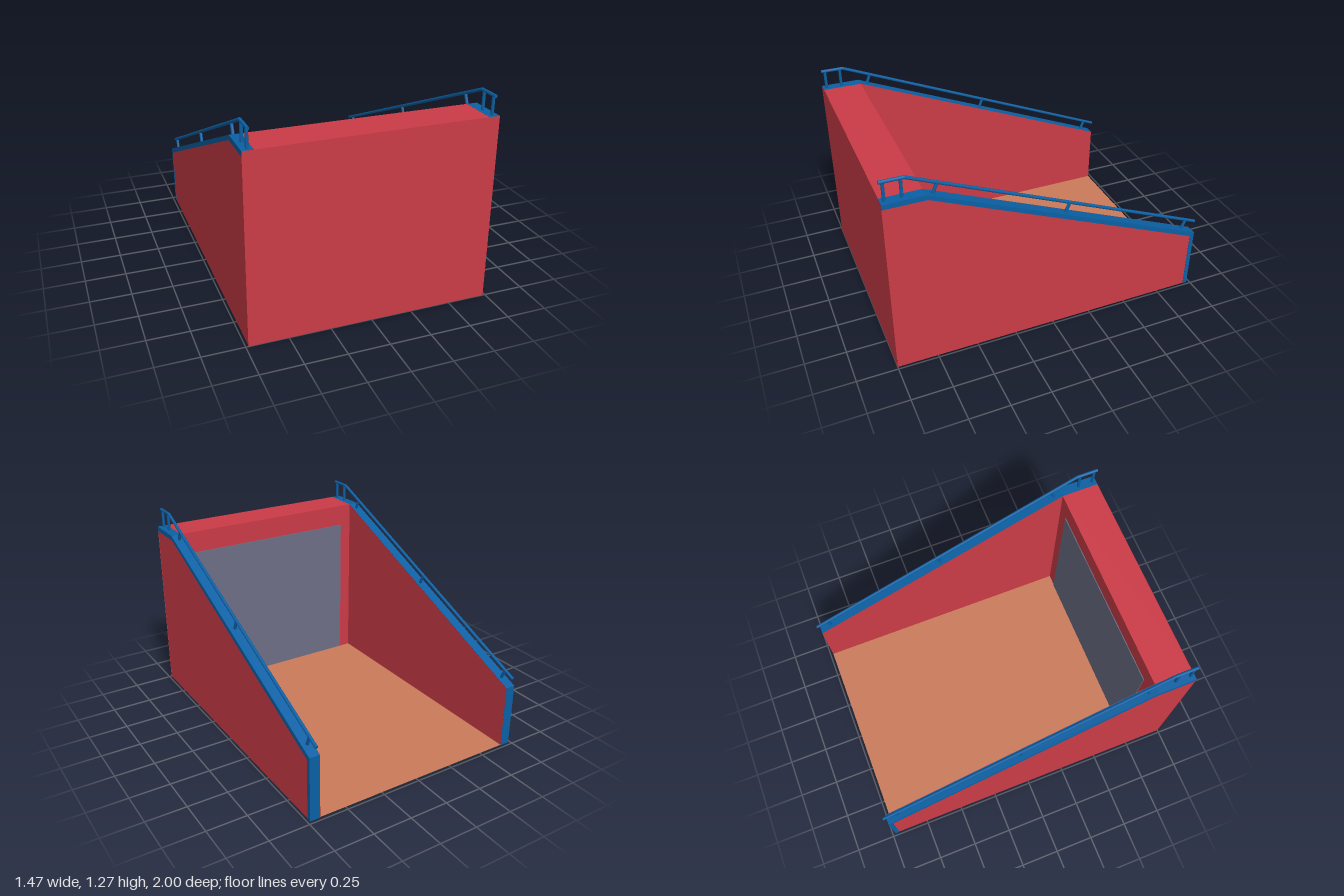
import * as THREE from 'three';

const IN = 0.67, OUT = 0.735, TOP = 1.15, BACK = -0.98, STEP = 0.76, LOW = 0.41;

export function createModel() {
  const mat = (name, color, side = THREE.FrontSide) => {
    const m = new THREE.MeshStandardMaterial({ color, side });
    m.name = name;
    return m;
  };
  const red = mat('red', 0xcb3b47, THREE.DoubleSide);
  const blue = mat('blue', 0x0b60a4);
  const clay = mat('clay', 0xca7a59, THREE.DoubleSide);
  const grey = mat('grey', 0x6d6e86);

  const model = new THREE.Group();
  model.name = 'slopedEnclosure';
  const add = (parent, name, geo, material, x = 0, y = 0, z = 0) => {
    const mesh = new THREE.Mesh(geo, material);
    mesh.name = name;
    mesh.position.set(x, y, z);
    parent.add(mesh);
    return mesh;
  };

  // Shapes are drawn as (z, y); turned so that they lie in the side plane
  const shapeOf = pts => new THREE.Shape(pts.map(([z, y]) => new THREE.Vector2(-z, y)));
  const sidePlate = pts => new THREE.ShapeGeometry(shapeOf(pts)).rotateY(Math.PI / 2);
  const sideSlab = (pts, depth) => new THREE.ExtrudeGeometry(shapeOf(pts),
    { depth, bevelEnabled: false }).rotateY(Math.PI / 2);

  // Round bar between two (z, y) points
  const bar = (parent, name, x, a, b, r) => {
    const p = new THREE.Vector3(x, a[1], a[0]), q = new THREE.Vector3(x, b[1], b[0]);
    const dir = q.clone().sub(p);
    const mesh = add(parent, name, new THREE.CylinderGeometry(r, r, dir.length(), 10), blue);
    mesh.position.copy(p).add(q).multiplyScalar(0.5);
    mesh.quaternion.setFromUnitVectors(new THREE.Vector3(0, 1, 0), dir.normalize());
  };

  // Floor, thick front wall and its full-width face
  add(model, 'floor', new THREE.PlaneGeometry(2 * IN, STEP - BACK).rotateX(-Math.PI / 2),
    clay, 0, 0.004, (STEP + BACK) / 2);
  add(model, 'frontWall', new THREE.BoxGeometry(2 * IN, TOP, 1 - STEP - 0.002), red,
    0, TOP / 2, (1 + STEP) / 2 - 0.001);
  add(model, 'frontFace', new THREE.PlaneGeometry(2 * OUT, TOP), red, 0, TOP / 2, 1);

  // Grey panel on the inside of the front wall
  add(model, 'innerPanel', new THREE.BoxGeometry(1.18, 1.0, 0.006), grey, 0, 0.506, STEP - 0.002);

  const wall = [[0.999, 0], [0.999, TOP], [STEP, TOP], [BACK, LOW], [BACK, 0]];
  const trim = [[0.999, TOP], [STEP, TOP], [BACK, LOW], [BACK, 0], [-0.952, 0],
    [-0.952, 0.388], [0.752, 1.118], [0.999, 1.118]];
  const posts = [
    [[0.975, 1.14], [0.975, 1.265]], [[0.88, 1.14], [0.88, 1.265]],
    [[0.716, 1.125], [0.69, 1.188]], [[-0.068, 0.79], [-0.095, 0.853]],
    [[-0.897, 0.435], [-0.924, 0.5]],
  ];

  for (const s of [1, -1]) {
    const side = new THREE.Group();
    side.name = s > 0 ? 'leftSide' : 'rightSide';
    model.add(side);

    // Hollow side wall, open underneath, with a blue edge trim
    add(side, 'innerWall', sidePlate(wall), red, s * IN);
    add(side, 'outerWall', sidePlate(wall), red, s * (OUT - 0.002));
    add(side, 'edgeTrim', sideSlab(trim, OUT - IN - 0.001), blue, s > 0 ? IN + 0.001 : -OUT);

    // Handrail and its posts
    const x = s * 0.7;
    bar(side, 'topRail', x, [0.997, 1.265], [0.86, 1.265], 0.01);
    bar(side, 'slopedRail', x, [0.86, 1.265], [-0.995, 0.473], 0.01);
    add(side, 'railJoint', new THREE.SphereGeometry(0.01, 10, 8), blue, x, 1.265, 0.86);
    for (const [a, b] of posts) bar(side, 'railPost', x, a, b, 0.0095);
  }
  return model;
}
